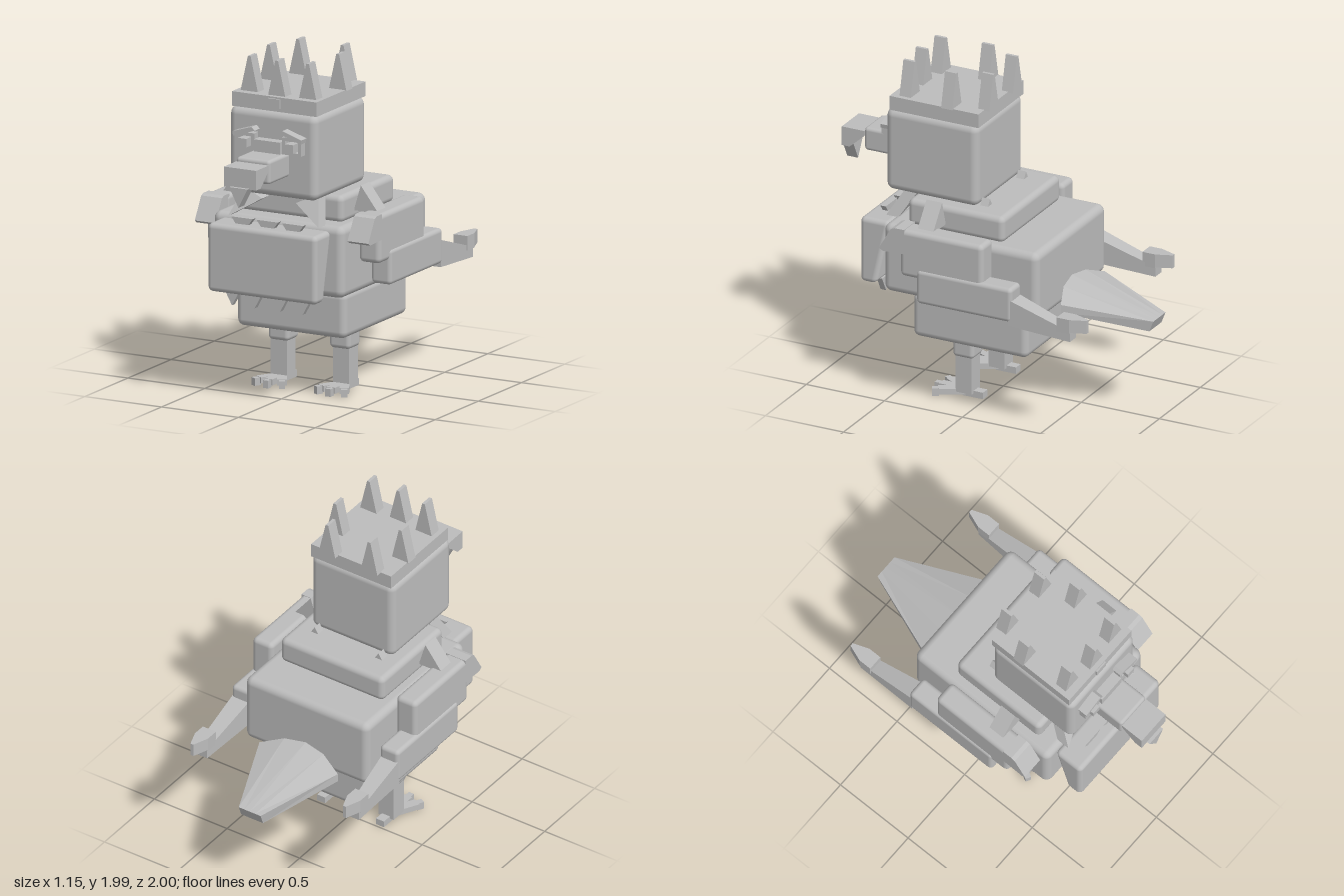
import * as THREE from 'three';
import { RoundedBoxGeometry } from 'three/addons/geometries/RoundedBoxGeometry.js';

const clay = new THREE.MeshStandardMaterial({ color: 0xbcbcbc });
clay.name = 'light grey';

export function createModel() {
  const root = new THREE.Group();
  root.name = 'crownedBird';

  const add = (name, geo) => {
    const mesh = new THREE.Mesh(geo, clay);
    mesh.name = name;
    root.add(mesh);
    return mesh;
  };

  // Boxes given by their extents; a radius makes the edges round
  const box = (name, [x0, x1], [y0, y1], [z0, z1], r = 0) => {
    const w = Math.abs(x1 - x0), h = y1 - y0, d = z1 - z0;
    const g = r ? new RoundedBoxGeometry(w, h, d, 3, r) : new THREE.BoxGeometry(w, h, d);
    g.translate((x0 + x1) / 2, (y0 + y1) / 2, (z0 + z1) / 2);
    return add(name, g);
  };

  // Outline in x, y extruded along z
  const slab = (pts, z0, z1, hole) => {
    const shape = new THREE.Shape(pts.map(([x, y]) => new THREE.Vector2(x, y)));
    if (hole) shape.holes.push(new THREE.Path(hole.map(([x, y]) => new THREE.Vector2(x, y))));
    return new THREE.ExtrudeGeometry(shape, { depth: z1 - z0, bevelEnabled: false }).translate(0, 0, z0);
  };

  // Outline in z, y extruded along x
  const sideSlab = (pts, x0, x1) =>
    slab(pts, 0, Math.abs(x1 - x0)).rotateY(-Math.PI / 2).translate(Math.max(x0, x1), 0, 0);

  // Move every vertex by a rule, then rebuild the normals
  const bend = (g, rule, flat = true) => {
    if (flat && g.index) g = g.toNonIndexed();
    const p = g.attributes.position, v = new THREE.Vector3();
    for (let i = 0; i < p.count; i++) {
      rule(v.fromBufferAttribute(p, i));
      p.setXYZ(i, v.x, v.y, v.z);
    }
    if (flat) g.computeVertexNormals();
    return g;
  };
  const rect = (x0, x1, y0, y1) => [[x0, y0], [x1, y0], [x1, y1], [x0, y1]];

  // Trunk and head
  box('hips', [-0.355, 0.355], [0.365, 0.635], [-0.335, 0.4], 0.04);
  box('body', [-0.425, 0.425], [0.64, 1.06], [-0.44, 0.55], 0.045);
  box('shoulders', [-0.355, 0.355], [1.05, 1.21], [-0.185, 0.43], 0.035);
  box('head', [-0.285, 0.285], [1.205, 1.705], [0.02, 0.61], 0.045);

  // Crown: band, gem and seven flat-sided spikes
  box('crownBand', [-0.275, 0.275], [1.7, 1.785], [0.015, 0.585]);
  box('crownGem', [-0.04, 0.04], [1.72, 1.775], [0.56, 0.595]);
  const spikes = [[0, 0.52]];
  for (const s of [-1, 1]) spikes.push([s * 0.145, 0.02], [s * 0.225, 0.215], [s * 0.19, 0.5]);
  for (const [x, z] of spikes)
    add('crownSpike', slab(
      [[x - 0.057, 1.78], [x + 0.057, 1.78], [x + 0.009, 1.99], [x - 0.009, 1.99]], z - 0.036, z + 0.036));

  // Beak: bridge, base, hook and tip
  box('beakBridge', [-0.085, 0.085], [1.46, 1.545], [0.6, 0.67]);
  box('beakBase', [-0.11, 0.11], [1.335, 1.475], [0.58, 0.835], 0.02);
  add('beakHook', sideSlab(
    [[0.835, 1.45], [0.98, 1.45], [0.98, 1.335], [0.93, 1.335], [0.835, 1.42]], -0.105, 0.105));
  add('beakTip', slab([[-0.06, 1.34], [0, 1.225], [0.06, 1.34]], 0.93, 1));

  // Bib whose back slopes toward its lower edge, with rows of points
  const bib = new RoundedBoxGeometry(0.71, 0.4, 0.19, 3, 0.03).translate(0, 0.837, 0.64);
  add('bib', bend(bib, v => { if (v.z < 0.64) v.z += 0.09 * (1.037 - v.y) / 0.4; }, false));
  for (const x of [-0.23, -0.083, 0.083, 0.23])
    add('bibLowerPoint', slab([[x - 0.05, 0.645], [x, 0.555], [x + 0.05, 0.645]], 0.63, 0.665));
  for (const x of [-0.165, 0, 0.165])
    add('bibUpperPoint', slab([[x - 0.07, 1.075], [x, 0.98], [x + 0.07, 1.075]], 0.63, 0.665));

  for (const s of [-1, 1]) {
    const mx = pts => pts.map(([x, y]) => [x * s, y]);

    // Eyes with a hollow frame and slanted brow
    add('eyeFrame', slab(mx(rect(0.09, 0.215, 1.475, 1.575)), 0.6, 0.655, mx(rect(0.11, 0.195, 1.49, 1.555))));
    box('pupil', [s * 0.125, s * 0.18], [1.495, 1.545], [0.6, 0.685]);
    add('brow', slab(mx([[0.08, 1.595], [0.22, 1.55], [0.225, 1.575], [0.1, 1.615]]), 0.6, 0.67));

    // Collar points lean forward as they hang down
    add('collarPoint', bend(slab(mx([[0.11, 1.165], [0.295, 1.055], [0.24, 1.215]]), 0.42, 0.5),
      v => { v.z += 0.6 * (1.215 - v.y); }));
    add('neckPoint', slab(mx([[0.19, 1.2], [0.25, 1.2], [0.22, 1.25]]), -0.03, 0.02));
    add('shoulderSpike', slab(mx([[0.35, 1.1], [0.51, 1.1], [0.395, 1.25]]), 0.185, 0.285));

    // Wing in overlapping steps, tapering backward
    add('wingCap', sideSlab(
      [[0.34, 0.965], [0.48, 0.96], [0.5, 0.975], [0.425, 1.105], [0.4, 1.115], [0.34, 1.115]], s * 0.43, s * 0.565));
    box('upperWing', [s * 0.425, s * 0.565], [0.825, 1.112], [-0.16, 0.37], 0.03);
    box('lowerWing', [s * 0.445, s * 0.575], [0.68, 0.888], [-0.35, 0.26], 0.025);
    const tip = new THREE.BoxGeometry(1, 1, 1);
    add('wingTip', bend(tip, v => {
      const back = v.z < 0;
      const y = back ? [0.635, 0.695] : [0.66, 0.82];
      const x = back ? [0.485, 0.56] : [0.455, 0.57];
      v.set(s * (v.x * s < 0 ? x[0] : x[1]), v.y < 0 ? y[0] : y[1], back ? -0.72 : -0.33);
    }));
    box('wingClaw', [s * 0.48, s * 0.57], [0.69, 0.775], [-0.72, -0.64]);
    const claw = new THREE.BoxGeometry(1, 1, 1);
    add('wingClawPoint', bend(claw, v => {
      const back = v.z < 0;
      v.set(s * 0.525 + v.x * (back ? 0.02 : 0.09), 0.735 + v.y * 0.08, back ? -0.815 : -0.72);
    }));

    // Legs and feet
    box('thigh', [s * 0.132, s * 0.267], [0.25, 0.37], [0.055, 0.19], 0.025);
    box('shin', [s * 0.15, s * 0.255], [0.03, 0.26], [0.07, 0.172]);
    box('heelToe', [s * 0.175, s * 0.23], [0.005, 0.045], [0.01, 0.14]);
    for (const a of [-0.5, 0, 0.5]) {
      const toe = new THREE.Group();
      toe.name = 'toe';
      const bone = new THREE.Mesh(new THREE.BoxGeometry(0.055, 0.035, 0.16).translate(0, 0.03, 0.08), clay);
      bone.name = 'toeBone';
      const nail = new THREE.Mesh(new THREE.BoxGeometry(0.035, 0.045, 0.04).translate(0, 0.023, 0.175), clay);
      nail.name = 'toeNail';
      toe.add(bone, nail);
      toe.position.set(s * 0.203, 0, 0.13);
      toe.rotation.y = a;
      root.add(toe);
    }
  }

  // Tail: arched at the body, narrowing to a flat end
  const tail = new THREE.BoxGeometry(1, 1, 1, 4, 1, 1);
  add('tail', bend(tail, v => {
    const u = v.x * 2, arch = 1 - u * u, top = v.y > 0;
    if (v.z > 0) v.set(u * 0.27, (top ? 0.71 : 0.66) + 0.07 * arch, -0.51 + 0.07 * arch);
    else v.set(u * 0.075, top ? 0.63 : 0.565, top ? -1 : -0.975);
  }));

  return root;
}
